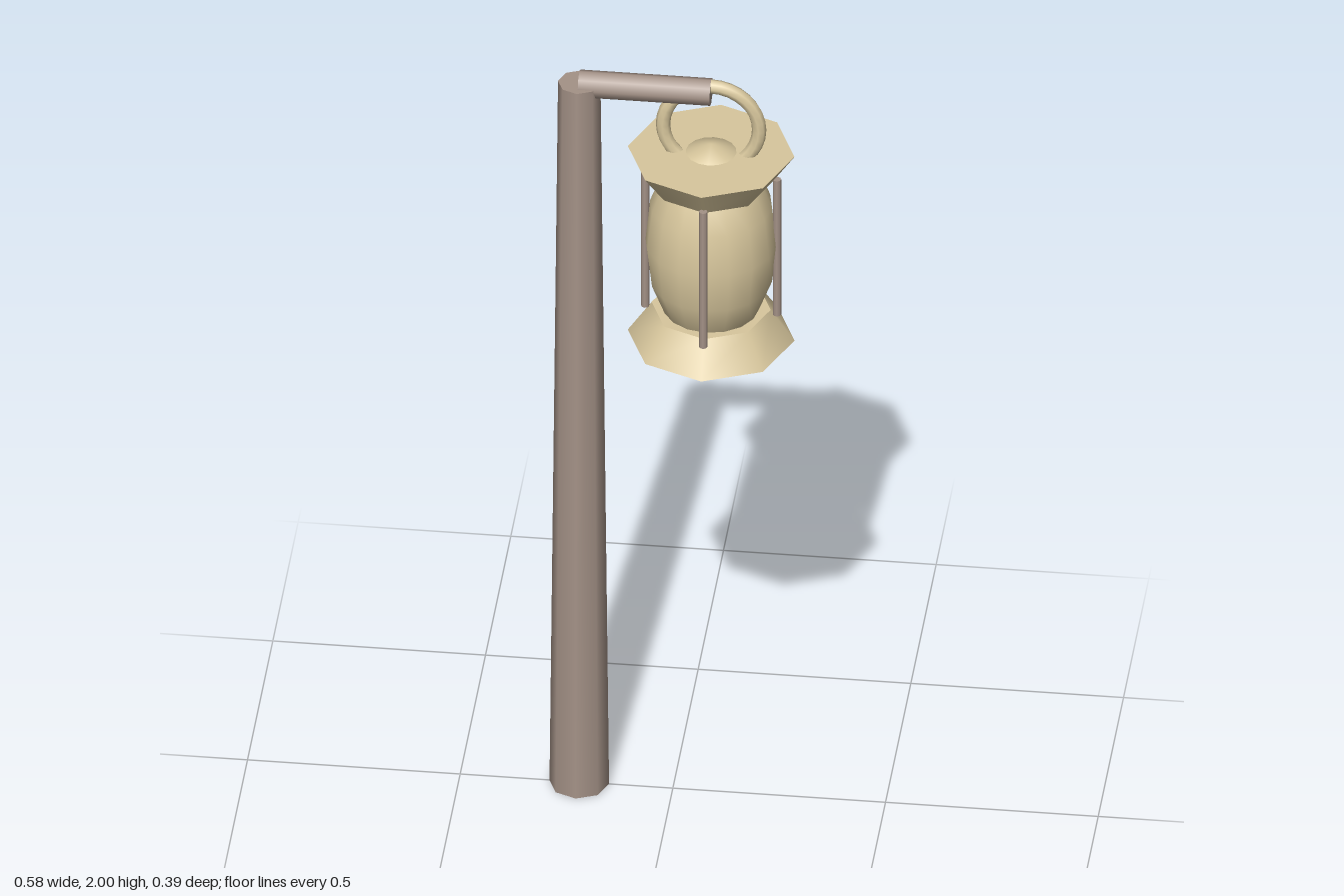
import * as THREE from 'three';

const wood = new THREE.MeshStandardMaterial({ name: 'brownWood', color: 0xa49287 });
const tan = new THREE.MeshStandardMaterial({ name: 'paleTan', color: 0xd8c79d });

const POLE_X = -0.22;
const LAMP_X = 0.09;

export function createModel() {
  const model = new THREE.Group();
  model.name = 'lanternPost';

  function add(parent, name, geometry, material, x, y, z) {
    const mesh = new THREE.Mesh(geometry, material);
    mesh.name = name;
    mesh.position.set(x, y, z);
    parent.add(mesh);
    return mesh;
  }

  // Tapered pole and the arm along its top
  add(model, 'pole', new THREE.CylinderGeometry(0.05, 0.07, 1.97, 8), wood, POLE_X, 0.985, 0);
  const arm = add(model, 'arm', new THREE.CylinderGeometry(0.033, 0.033, LAMP_X - POLE_X, 8),
    wood, (POLE_X + LAMP_X) / 2, 1.967, 0);
  arm.rotation.z = Math.PI / 2;

  // Hanging lantern
  const lantern = new THREE.Group();
  lantern.name = 'lantern';
  lantern.position.x = LAMP_X;
  model.add(lantern);

  add(lantern, 'hangingRing', new THREE.TorusGeometry(0.113, 0.017, 8, 32), tan, 0, 1.87, 0);
  add(lantern, 'cap', new THREE.CylinderGeometry(0.196, 0.14, 0.08, 8), tan, 0, 1.76, 0);
  add(lantern, 'base', new THREE.CylinderGeometry(0.14, 0.196, 0.082, 8), tan, 0, 1.324, 0);

  // Egg-shaped globe, its tips just showing through cap and base
  const globe = new THREE.SphereGeometry(1, 16, 8).scale(0.155, 0.272, 0.155);
  add(lantern, 'globe', globe, tan, 0, 1.549, 0);

  // Four guard bars
  const bar = new THREE.CylinderGeometry(0.01, 0.01, 0.38, 8);
  for (let i = 0; i < 4; i++) {
    const a = (i * Math.PI) / 2;
    add(lantern, 'guardBar', bar, wood, 0.155 * Math.cos(a), 1.544, 0.155 * Math.sin(a));
  }

  return model;
}
